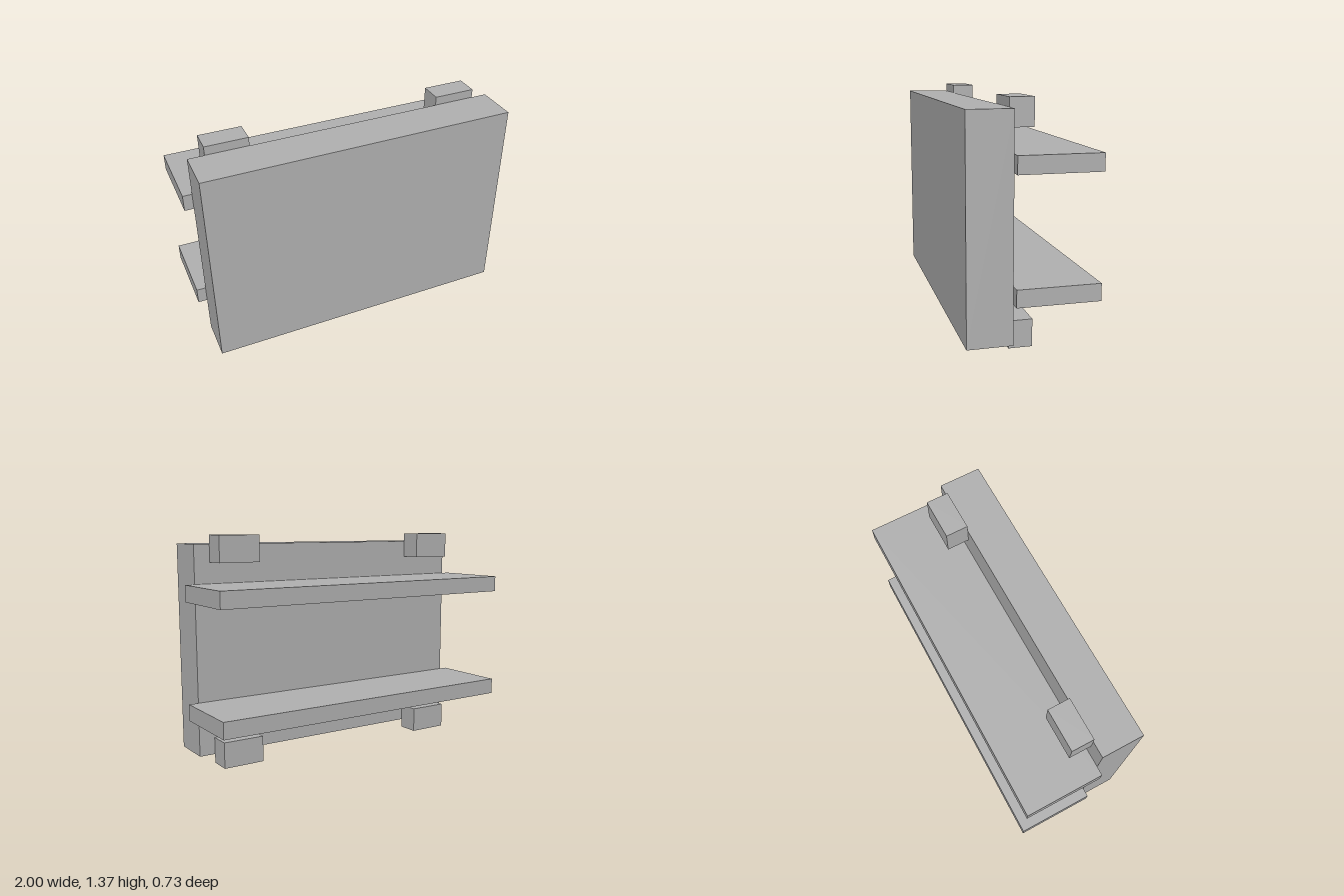
import * as THREE from 'three';

export function createModel() {
  const model = new THREE.Group();
  const grey = new THREE.MeshStandardMaterial({ color: 0xb2b2b2 });
  grey.name = 'grey';

  // Box given by its minimum and maximum on each axis
  function addBox(name, [x0, x1], [y0, y1], [z0, z1]) {
    const mesh = new THREE.Mesh(new THREE.BoxGeometry(x1 - x0, y1 - y0, z1 - z0), grey);
    mesh.position.set((x0 + x1) / 2, (y0 + y1) / 2, (z0 + z1) / 2);
    mesh.name = name;
    model.add(mesh);
  }

  const back = 0.108; // plane where the fittings meet the panel

  // Thick upright panel
  addBox('frontPanel', [-0.946, 0.942], [0.055, 1.313], [back, 0.363]);

  // Two long shelves reaching backwards
  const shelves = [['lowerShelf', 0.284], ['upperShelf', 0.984]];
  for (const [name, y] of shelves) addBox(name, [-1, 1], [y, y + 0.099], [-0.363, back]);

  // Four small blocks near the corners
  const rows = [['lower', 0], ['upper', 1.208]];
  const columns = [['Right', -0.849], ['Left', 0.589]];
  for (const [row, y] of rows) {
    for (const [side, x] of columns) {
      addBox(row + side + 'Block', [x, x + 0.256], [y, y + 0.158], [-0.028, back]);
    }
  }
  return model;
}
